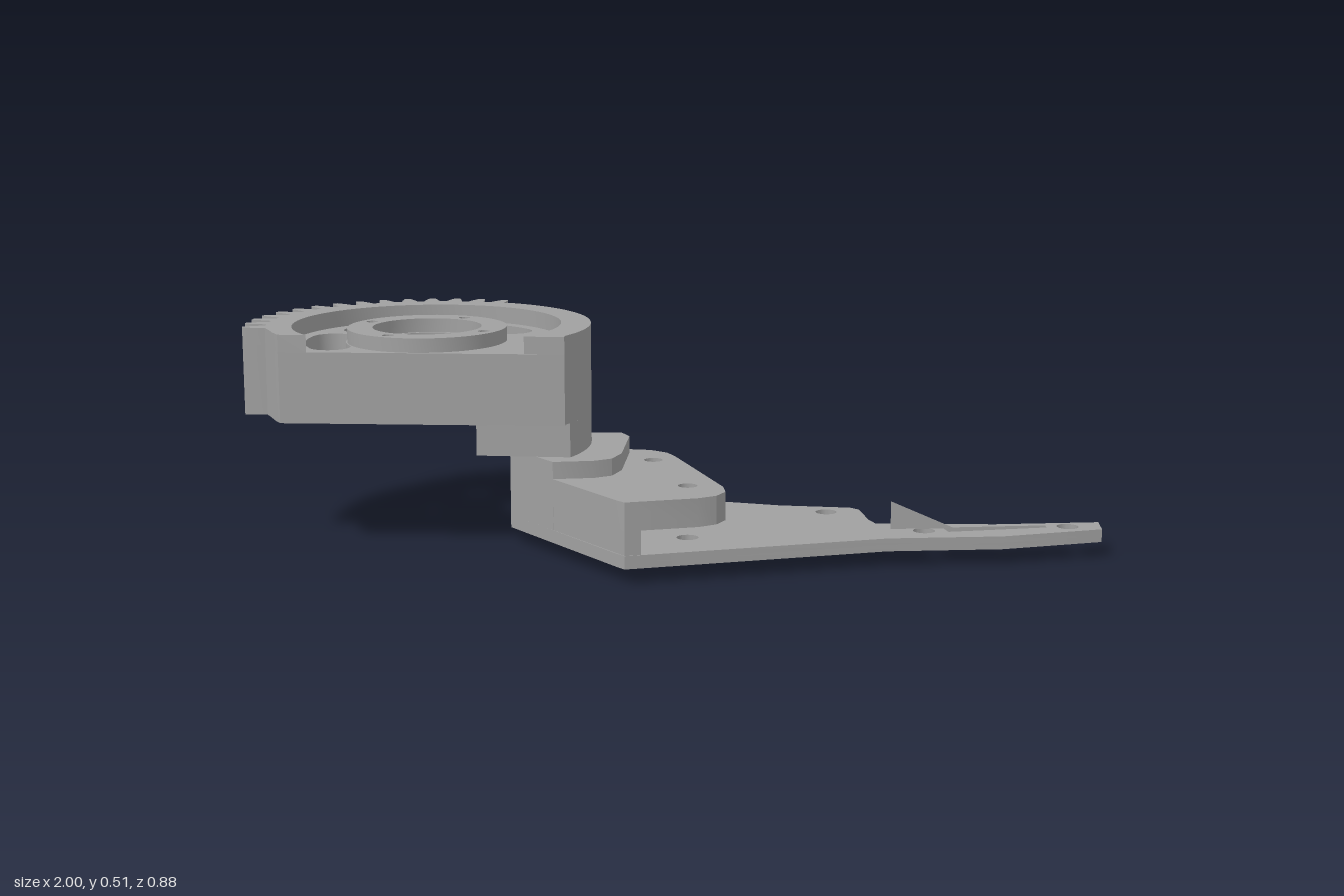
import * as THREE from 'three';
import { toCreasedNormals } from 'three/addons/utils/BufferGeometryUtils.js';

const CX = -0.572, CZ = -0.02; // gear axis
const rad = (d) => (d * Math.PI) / 180;

// point at radius r and angle a (degrees, counter-clockwise seen from above) around the gear axis
const polar = (r, a) => [CX + r * Math.cos(rad(a)), CZ - r * Math.sin(rad(a))];

function arc(r, a0, a1, n) {
  const pts = [];
  for (let i = 0; i <= n; i++) pts.push(polar(r, a0 + ((a1 - a0) * i) / n));
  return pts;
}

function circle(x, z, r, n = 24) {
  const pts = [];
  for (let i = 0; i < n; i++) {
    const t = (i / n) * Math.PI * 2;
    pts.push([x + r * Math.cos(t), z + r * Math.sin(t)]);
  }
  return pts;
}

// banana-shaped slot around the gear axis with rounded ends
function slot(r0, r1, a0, a1) {
  const rm = (r0 + r1) / 2, h = (r1 - r0) / 2;
  const cap = (a, s) => {
    const [x, z] = polar(rm, a), pts = [];
    for (let i = 1; i < 8; i++) {
      const t = rad(a + s + i * 22.5);
      pts.push([x + h * Math.cos(t), z - h * Math.sin(t)]);
    }
    return pts;
  };
  return [...arc(r1, a0, a1, 12), ...cap(a1, 0), ...arc(r0, a1, a0, 12), ...cap(a0, 180)];
}

export function createModel() {
  const model = new THREE.Group();
  const grey = new THREE.MeshStandardMaterial({ color: 0xa0a0a0, side: THREE.DoubleSide });
  grey.name = 'plain grey';

  // flat slab between two heights from an outline of [x, z] points
  function slab(name, outline, holes, y0, y1) {
    const vec = (pts) => pts.map(([x, z]) => new THREE.Vector2(x, -z));
    const shape = new THREE.Shape(vec(outline));
    shape.holes = holes.map((h) => new THREE.Path(vec(h)));
    let geo = new THREE.ExtrudeGeometry(shape, { depth: y1 - y0, bevelEnabled: false });
    geo.rotateX(-Math.PI / 2).translate(0, y0, 0);
    geo = toCreasedNormals(geo, 0.4);
    const mesh = new THREE.Mesh(geo, grey);
    mesh.name = name;
    model.add(mesh);
  }

  // gear outline: smooth arc, then teeth, closed by a straight chord
  const chordRight = [-0.235, 0.185], chordLeft = [-0.89, 0.163];
  const outer = [chordRight, ...arc(0.385, -29, 66, 40)];
  const teeth = 15, pitch = 128 / teeth;
  for (let i = 0; i < teeth; i++) {
    const a = 67 + i * pitch;
    for (const [r, f] of [[0.376, 0], [0.4, 0.1], [0.428, 0.24], [0.428, 0.46], [0.4, 0.6], [0.376, 0.7]])
      outer.push(polar(r, a + f * pitch));
  }
  outer.push(polar(0.37, 197), polar(0.368, 204), chordLeft);

  const bolts = (r) => [circle(-0.28, -0.08, r), circle(-0.28, 0.06, r)];
  slab('gearBody', outer, [
    circle(CX, CZ, 0.118, 48),
    slot(0.19, 0.285, 168, 207),
    slot(0.19, 0.285, 116, 138),
    slot(0.19, 0.285, 38, 72),
    ...bolts(0.027),
  ], 0.305, 0.47);

  // raised rim, open along the chord
  slab('gearRim', [...outer, ...arc(0.315, 217, -39, 60)], [], 0.47, 0.51);

  // hub ring with four screw holes
  const screws = [27, 63, 117, 153].map((_, i) => circle(...polar(0.158, 63 + i * 90), 0.014, 12));
  slab('hubRing', circle(CX, CZ, 0.187, 64), [circle(CX, CZ, 0.128, 48), ...screws], 0.47, 0.503);

  // column joining the gear to the bracket
  slab('column', [...arc(0.385, -26, 21, 16), ...arc(0.2, 40, -50, 16)], bolts(0.027), 0.225, 0.305);

  // bracket block under the column
  slab('bracketBlock', [
    [-0.374, 0.05], [-0.263, 0.2], [-0.17, 0.185], [-0.13, 0.16], [-0.11, 0.1],
    [-0.1, -0.1], [-0.12, -0.142], [-0.3, -0.142], [-0.374, -0.08],
  ], bolts(0.027), 0.065, 0.225);

  // upper bracket plate and the diagonal wall carrying it
  const plateBolts = (r) => [circle(-0.04, -0.015, r), circle(0.045, 0.26, r)];
  slab('upperPlate', [
    [-0.374, 0.05], [-0.11, 0.408], [-0.09, 0.43], [0.07, 0.385], [0.11, 0.36], [0.13, 0.32], [0.125, 0.27],
    [0.01, -0.06], [-0.01, -0.1], [-0.05, -0.13], [-0.12, -0.141], [-0.3, -0.141], [-0.373, -0.08],
  ], [...plateBolts(0.022), ...bolts(0.027)], 0.12, 0.185);
  slab('diagonalWall', [
    [-0.374, 0.05], [-0.09, 0.43], [-0.055, 0.42], [-0.055, 0.395], [-0.31, 0.05],
  ], [], 0.065, 0.12);

  // long base arm: countersunk lower layer, upper layer with a shallow pocket near the tip
  const arm = [
    [-0.374, 0.05], [-0.11, 0.408], [-0.09, 0.432], [0.497, 0.26], [0.76, 0.235], [0.995, 0.163], [0.998, 0.094],
    [0.755, 0.12], [0.48, 0.12], [0.465, 0.08], [0.45, -0.02], [0.43, -0.04], [0.262, -0.06],
    [0.005, -0.13], [-0.12, -0.145], [-0.3, -0.145], [-0.374, -0.08],
  ];
  const armBolts = (r, tip) => [...plateBolts(r), ...bolts(r),
    circle(0.37, 0.005, r), circle(0.585, 0.185, r), circle(0.92, 0.138, tip)];
  slab('armLower', arm, armBolts(0.042, 0.027), 0.035, 0.05);
  slab('armUpper', arm, [...armBolts(0.025, 0.025),
    [[0.63, 0.155], [0.87, 0.128], [0.87, 0.148], [0.64, 0.195]]], 0.05, 0.065);

  // thin triangular fins below and above the arm
  const fins = [
    [-0.09, 0, -0.045, 0, 0, -0.06, 0, 0.036, -0.05],
    [0.04, 0, -0.07, 0.21, 0, -0.105, 0, 0.036, -0.08],
    [0.21, 0, -0.105, 0.21, 0.036, -0.07, 0, 0.036, -0.08],
    [0.415, 0, -0.05, 0.31, 0.036, -0.045, 0.415, 0.036, -0.035],
    [-0.08, 0, -0.115, 0, 0, -0.138, 0, 0.036, -0.125],
    [0.51, 0.13, 0.17, 0.51, 0.064, 0.17, 0.66, 0.064, 0.16],
  ];
  for (const f of fins) {
    const geo = new THREE.BufferGeometry();
    geo.setAttribute('position', new THREE.Float32BufferAttribute(f, 3));
    geo.computeVertexNormals();
    const mesh = new THREE.Mesh(geo, grey);
    mesh.name = 'fin';
    model.add(mesh);
  }
  return model;
}
